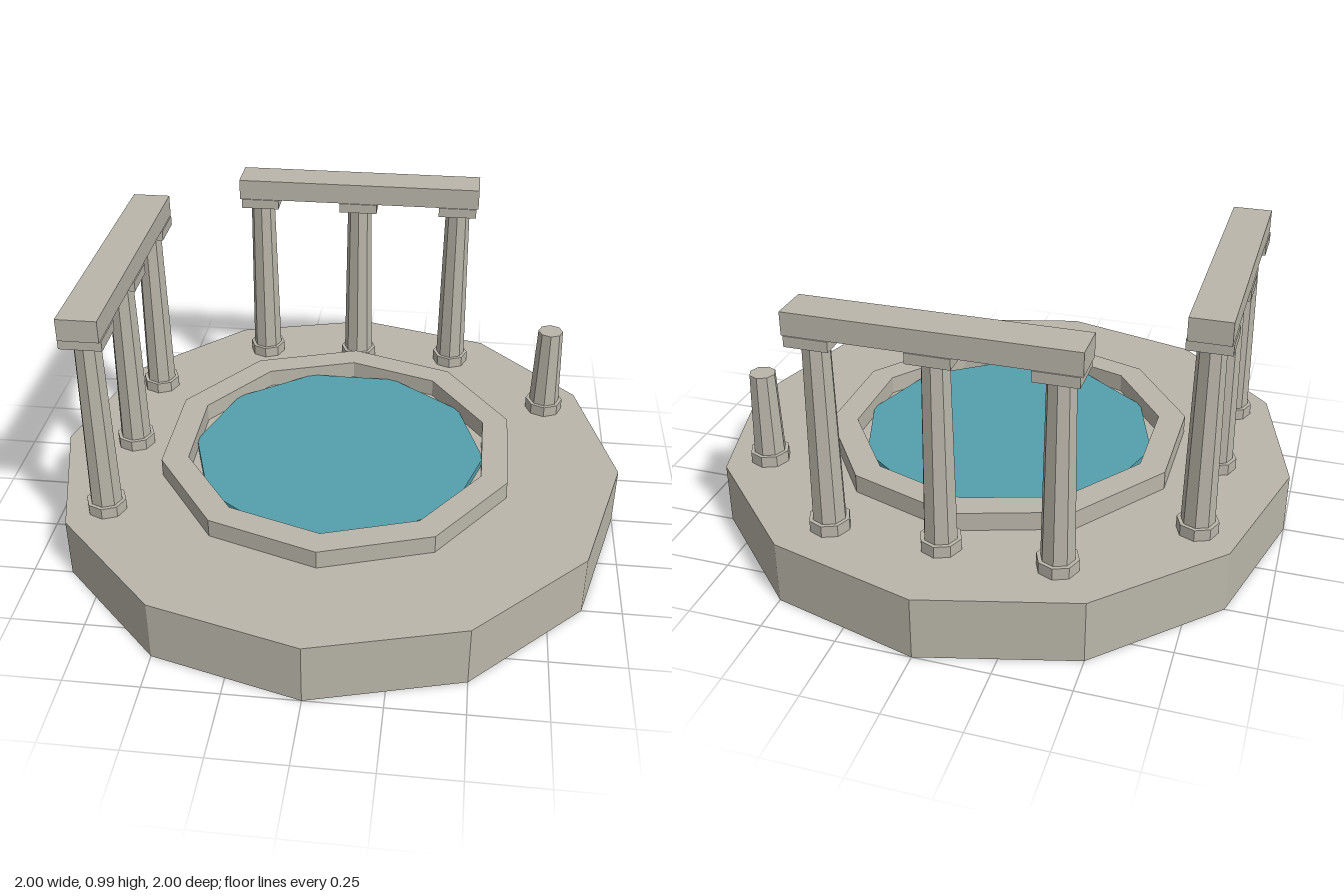
import * as THREE from 'three';

const stone = new THREE.MeshStandardMaterial({ color: 0xbab6aa, flatShading: true });
stone.name = 'stone';
const waterBlue = new THREE.MeshStandardMaterial({ color: 0x54a0ad, flatShading: true });
waterBlue.name = 'water blue';

const DECK = 0.215;         // top of the platform
const SHAFT_BOTTOM = 0.255; // top of the column plinths
const SHAFT_TOP = 0.875;    // underside of the capitals
const BEAM_BOTTOM = 0.91;
const BEAM_TOP = 0.985;

function add(parent, name, geometry, material, x = 0, y = 0, z = 0) {
  const mesh = new THREE.Mesh(geometry, material);
  mesh.name = name;
  mesh.position.set(x, y, z);
  parent.add(mesh);
  return mesh;
}

// Upright prism between two heights
function prism(parent, name, rTop, rBottom, y0, y1, sides, material = stone) {
  const geometry = new THREE.CylinderGeometry(rTop, rBottom, y1 - y0, sides);
  return add(parent, name, geometry, material, 0, (y0 + y1) / 2, 0);
}

// Octagonal plinth, tapered shaft and, when whole, a square capital
function makeColumn(name, x, z, top = SHAFT_TOP) {
  const column = new THREE.Group();
  column.name = name;
  column.position.set(x, 0, z);
  prism(column, 'plinth', 0.068, 0.068, DECK, SHAFT_BOTTOM, 8);
  prism(column, 'shaft', 0.045, 0.055, SHAFT_BOTTOM, top, 8);
  if (top === SHAFT_TOP) {
    const height = BEAM_BOTTOM - SHAFT_TOP;
    add(column, 'capital', new THREE.BoxGeometry(0.14, height, 0.14), stone, 0, SHAFT_TOP + height / 2, 0);
  }
  return column;
}

// Three columns along local x carrying a beam
function makeColonnade(name, spacing, length) {
  const row = new THREE.Group();
  row.name = name;
  for (const i of [-1, 0, 1]) row.add(makeColumn('column', i * spacing, 0));
  const height = BEAM_TOP - BEAM_BOTTOM;
  add(row, 'beam', new THREE.BoxGeometry(length, height, 0.132), stone, 0, BEAM_BOTTOM + height / 2, 0);
  return row;
}

export function createModel() {
  const model = new THREE.Group();
  model.name = 'ruinedPool';

  // Twelve-sided platform
  prism(model, 'platform', 1, 1, 0, DECK, 12);

  // Ten-sided pool rim
  const profile = [[0.635, DECK], [0.635, 0.28], [0.54, 0.28], [0.54, DECK]]
    .map(([r, y]) => new THREE.Vector2(r, y));
  add(model, 'poolRim', new THREE.LatheGeometry(profile, 10), stone);

  // Water, turned half a side against the rim
  prism(model, 'water', 0.52, 0.52, DECK, 0.24, 10, waterBlue).rotation.y = Math.PI / 2;

  // Colonnades behind and to the side of the pool
  const back = makeColonnade('backColonnade', 0.375, 0.905);
  back.position.z = -0.72;
  const side = makeColonnade('rightColonnade', 0.4, 0.96);
  side.position.x = -0.748;
  side.rotation.y = Math.PI / 2;
  model.add(back, side);

  // Broken column
  model.add(makeColumn('brokenColumn', 0.745, -0.4, 0.55));

  return model;
}
